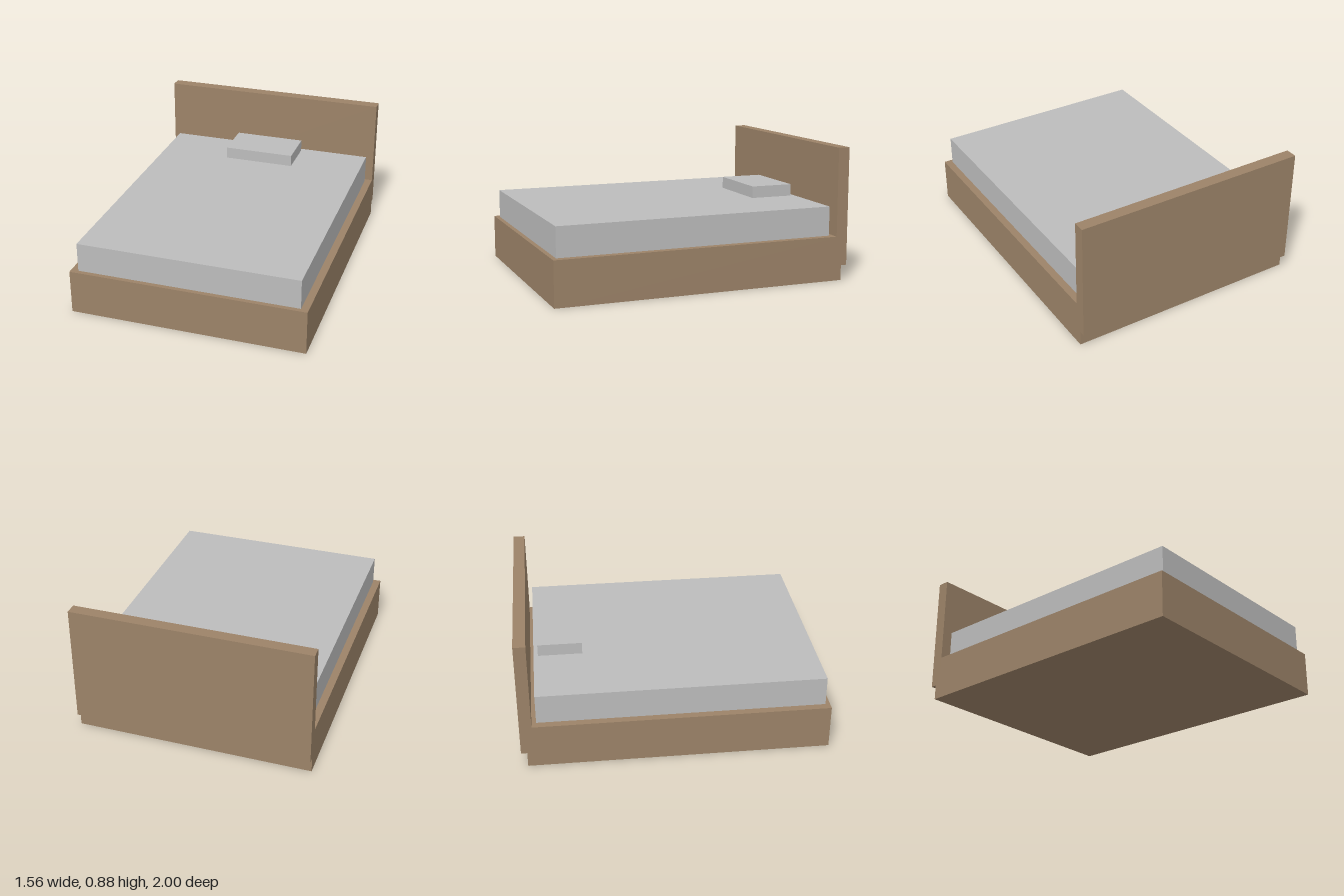
import * as THREE from 'three';

export function createModel() {
  const model = new THREE.Group();
  model.name = 'bed';

  const wood = new THREE.MeshStandardMaterial({ color: 0x9c8368 });
  wood.name = 'brown wood';
  const fabric = new THREE.MeshStandardMaterial({ color: 0xbcbcbc });
  fabric.name = 'grey fabric';

  // Box centred on x, given its width and its y and z ranges
  function addBox(name, material, width, [y0, y1], [z0, z1]) {
    const mesh = new THREE.Mesh(new THREE.BoxGeometry(width, y1 - y0, z1 - z0), material);
    mesh.position.set(0, (y0 + y1) / 2, (z0 + z1) / 2);
    mesh.name = name;
    model.add(mesh);
  }

  // Solid base, with the mattress inset on top
  addBox('bedFrame', wood, 1.564, [0, 0.295], [-0.96, 1]);
  addBox('mattress', fabric, 1.466, [0.295, 0.49], [-0.892, 0.97]);

  // Pillow near the head end
  addBox('pillow', fabric, 0.49, [0.49, 0.57], [-0.863, -0.57]);

  // Headboard overlaps the back of the frame and stops short of the floor
  addBox('headboard', wood, 1.564, [0.1, 0.882], [-1, -0.922]);

  return model;
}
